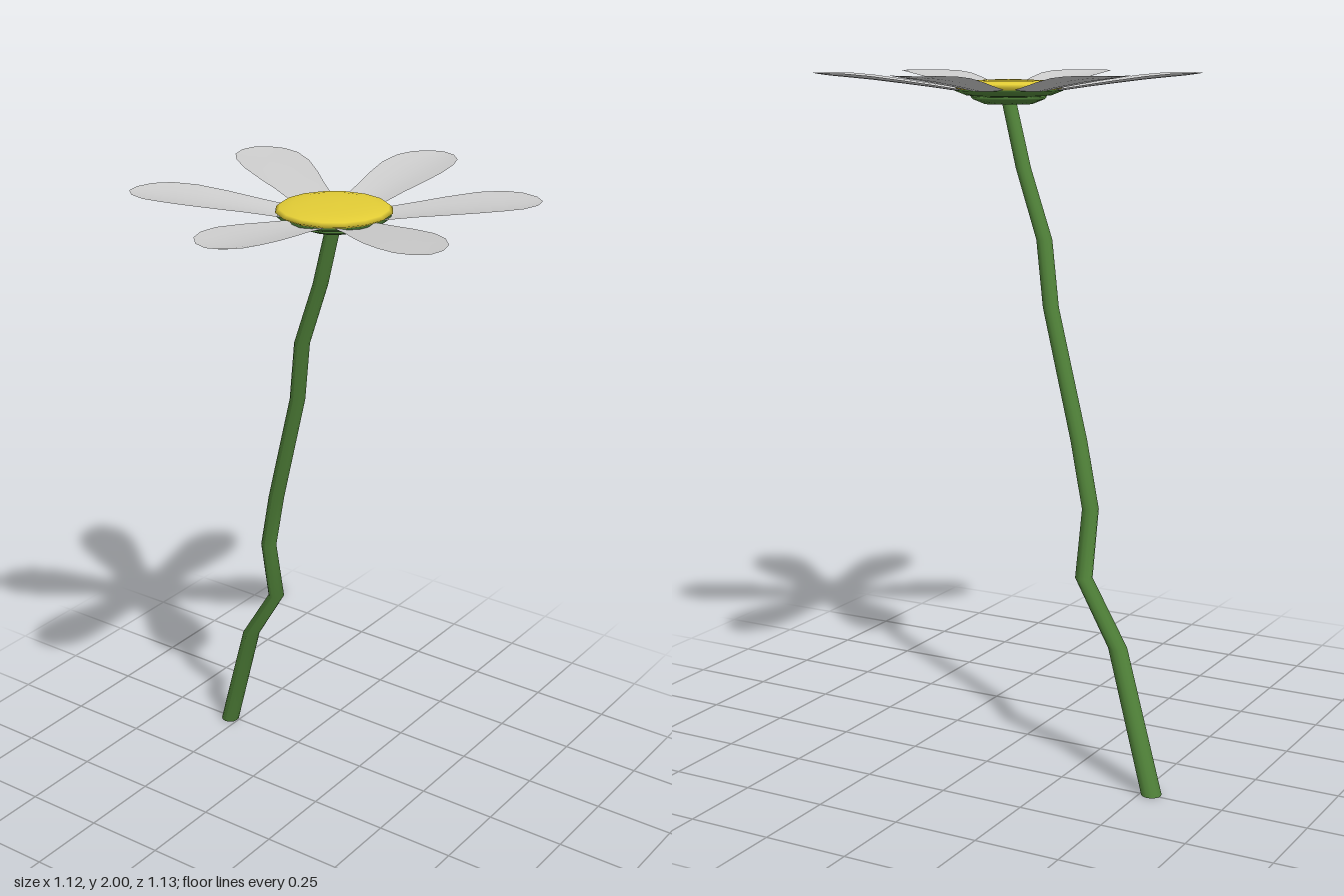
import * as THREE from 'three';

const CX = 0.062; // flower head centre on x
const green = new THREE.MeshStandardMaterial({ color: 0x4f8038, side: THREE.DoubleSide });
const yellow = new THREE.MeshStandardMaterial({ color: 0xe2cc35, side: THREE.DoubleSide });
const white = new THREE.MeshStandardMaterial({ color: 0xcccccc, side: THREE.DoubleSide });

// Kinked stem: a cylinder whose horizontal rings follow [x, y, z, radius]
function stemGeometry() {
  const rings = [
    [-0.532, 0, -0.243, 0.029], [-0.4, 0.4, -0.198, 0.027], [-0.281, 0.585, -0.178, 0.025],
    [-0.284, 0.78, -0.145, 0.024], [-0.232, 0.97, -0.118, 0.024], [-0.115, 1.34, -0.07, 0.023],
    [-0.08, 1.53, -0.045, 0.023], [0.002, 1.73, -0.02, 0.022], [CX, 1.925, 0, 0.021],
  ];
  const n = rings.length - 1;
  const geo = new THREE.CylinderGeometry(1, 1, n, 12, n);
  const p = geo.attributes.position;
  for (let i = 0; i < p.count; i++) {
    const [x, y, z, r] = rings[Math.round(p.getY(i) + n / 2)];
    p.setXYZ(i, x + p.getX(i) * r, y, z + p.getZ(i) * r);
  }
  geo.computeVertexNormals();
  return geo;
}

// Cupped petal reaching out along +z; stations are [radius, half width, height]
function petalGeometry() {
  const stations = [
    [0.09, 0.052, 1.942], [0.16, 0.066, 1.95], [0.23, 0.076, 1.96], [0.3, 0.09, 1.969],
    [0.39, 0.102, 1.98], [0.46, 0.097, 1.987], [0.513, 0.078, 1.992],
    [0.55, 0.042, 1.997], [0.563, 0.004, 2.0],
  ];
  const n = stations.length - 1;
  const geo = new THREE.PlaneGeometry(2, n, 4, n);
  const p = geo.attributes.position;
  for (let i = 0; i < p.count; i++) {
    const [r, w, y] = stations[Math.round(n / 2 - p.getY(i))];
    const u = p.getX(i);
    p.setXYZ(i, u * w, y + 0.012 * u * u * (w / 0.1), r);
  }
  // Keep the rim level with the tip
  for (let i = 0; i < p.count; i++) p.setY(i, Math.min(p.getY(i), 2));
  geo.computeVertexNormals();
  return geo;
}

function lathe(points, sides) {
  return new THREE.LatheGeometry(points.map(([r, y]) => new THREE.Vector2(r, y)), sides);
}

export function createModel() {
  const model = new THREE.Group();
  const add = (parent, name, geo, mat) => {
    const mesh = new THREE.Mesh(geo, mat);
    mesh.name = name;
    parent.add(mesh);
    return mesh;
  };

  add(model, 'stem', stemGeometry(), green);

  const head = new THREE.Group();
  head.name = 'flowerHead';
  head.position.x = CX;
  model.add(head);

  // Stepped green cup under the petals
  add(head, 'cup', lathe([
    [0, 1.911], [0.07, 1.911], [0.105, 1.925], [0.112, 1.932], [0.1, 1.934],
    [0.125, 1.936], [0.16, 1.95], [0.14, 1.955],
  ], 16), green);

  // Low domed centre
  add(head, 'centre', lathe([
    [0.09, 1.944], [0.145, 1.951], [0.163, 1.961], [0.152, 1.97], [0.115, 1.977], [0.06, 1.98], [0, 1.981],
  ], 16), yellow);

  // Ring of six petals
  const petal = petalGeometry();
  for (let i = 0; i < 6; i++) {
    add(head, 'petal' + (i + 1), petal, white).rotation.y = (i * Math.PI) / 3;
  }
  return model;
}
